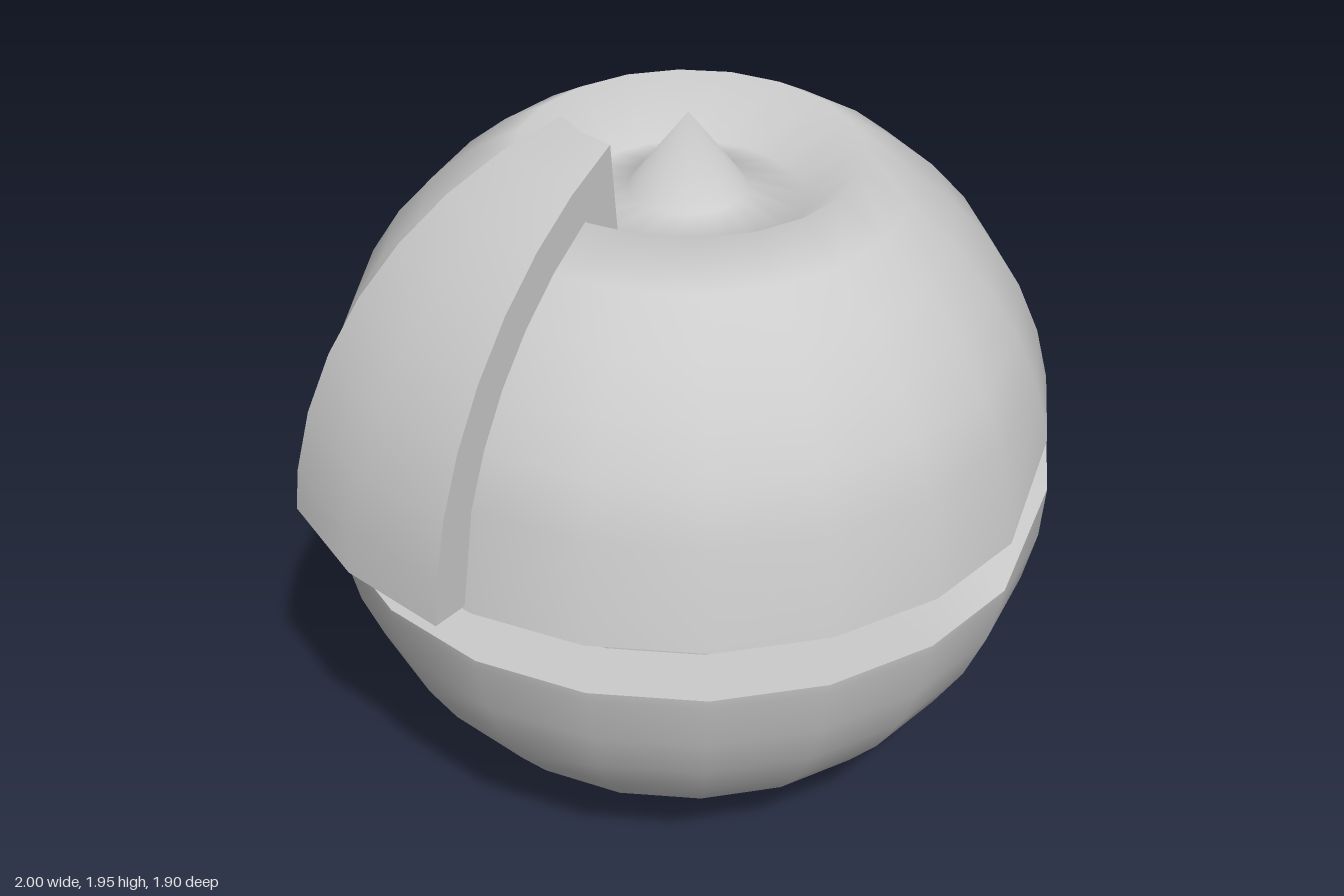
import * as THREE from 'three';
import { mergeVertices, toCreasedNormals } from 'three/addons/utils/BufferGeometryUtils.js';

const R = 0.95, CY = 0.95, CX = 0.05, SIDES = 20;
const rad = THREE.MathUtils.degToRad;
const angles = Array.from({ length: SIDES }, (_, i) => (i * 360) / SIDES);

// Point at an azimuth (degrees, counted from +x), a radius from the axis and a height
const point = (azimuth, r, y) =>
  new THREE.Vector3(r * Math.cos(rad(azimuth)), y, -r * Math.sin(rad(azimuth)));
// Radius and height on a ball at a polar angle, and the ball's radius at a height
const polar = (deg, size = R) => [size * Math.sin(rad(deg)), CY + size * Math.cos(rad(deg))];
const radiusAt = (y, size = R) => Math.sqrt(Math.max(0, size * size - (y - CY) ** 2));
const ring = ([r, y]) => angles.map((a) => point(a, r, y));

// Skin closed rings of equal point count, listed from bottom to top
function loft(rings) {
  const n = rings[0].length, index = [];
  for (let j = 0; j < rings.length - 1; j++) {
    for (let i = 0; i < n; i++) {
      const k = (i + 1) % n, a = j * n + i, b = j * n + k;
      index.push(a, b, b + n, a, b + n, a + n);
    }
  }
  const geometry = new THREE.BufferGeometry().setFromPoints(rings.flat());
  geometry.setIndex(index);
  return geometry;
}

function smooth(geometry) {
  const merged = mergeVertices(geometry, 1e-4);
  merged.computeVertexNormals();
  return merged;
}

// The gap steps up on the +x side
const raised = (a) => Math.min(a, 360 - a) < 60;
const lowerY = (a) => (raised(a) ? 0.95 : 0.83);
const upperY = (a) => (raised(a) ? 1.1 : 0.98);
const gapRing = (height, scale) =>
  angles.map((a) => point(a, scale * radiusAt(height(a)), height(a)));

export function createModel() {
  const group = new THREE.Group();
  const material = new THREE.MeshStandardMaterial({ color: 0xcccccc });
  const add = (name, geometry) => {
    const mesh = new THREE.Mesh(geometry, material);
    mesh.name = name;
    mesh.position.x = CX;
    group.add(mesh);
  };

  // Lower bowl
  const bowl = [];
  for (let d = 180; d >= 99; d -= 9) bowl.push(ring(polar(d)));
  add('lowerBowl', smooth(loft([...bowl, gapRing(lowerY, 1)])));

  // Recessed channel between the halves
  add('gapChannel', toCreasedNormals(loft([
    gapRing(lowerY, 1), gapRing(lowerY, 0.815), gapRing(upperY, 0.815), gapRing(upperY, 1),
  ]), rad(30)));

  // Upper dome, with a sunken crater and a centre spike
  const dome = [gapRing(upperY, 1)];
  for (let d = 72; d >= 27; d -= 9) dome.push(ring(polar(d)));
  for (const d of [18, 9]) {
    const [r, y] = polar(d);
    dome.push(ring([r, y - 0.19]));
  }
  dome.push(ring([0, CY + R]));
  add('upperDome', smooth(loft(dome)));

  // Raised strip running up the -x side to the crater
  const outerAngles = [163.3, 180, 196.7], innerAngles = [...outerAngles].reverse();
  const section = (outer, inner) => [
    ...outerAngles.map((a) => point(a, ...outer)),
    ...innerAngles.map((a) => point(a, ...inner)),
  ];
  const OUT = 1.055;
  const strip = [section([radiusAt(1, OUT), 1], [0.9, 0.985])];
  for (let d = 81; d >= 27; d -= 9) strip.push(section(polar(d, OUT), polar(d, 0.91)));
  strip.push(section(polar(18, OUT), [0.294, 1.65]));
  const cap = (loop) => {
    const centre = loop.reduce((s, p) => s.add(p), new THREE.Vector3()).divideScalar(loop.length);
    return loop.map(() => centre);
  };
  add('sideStrip', toCreasedNormals(
    loft([cap(strip[0]), ...strip, cap(strip[strip.length - 1])]), rad(30)));

  return group;
}
